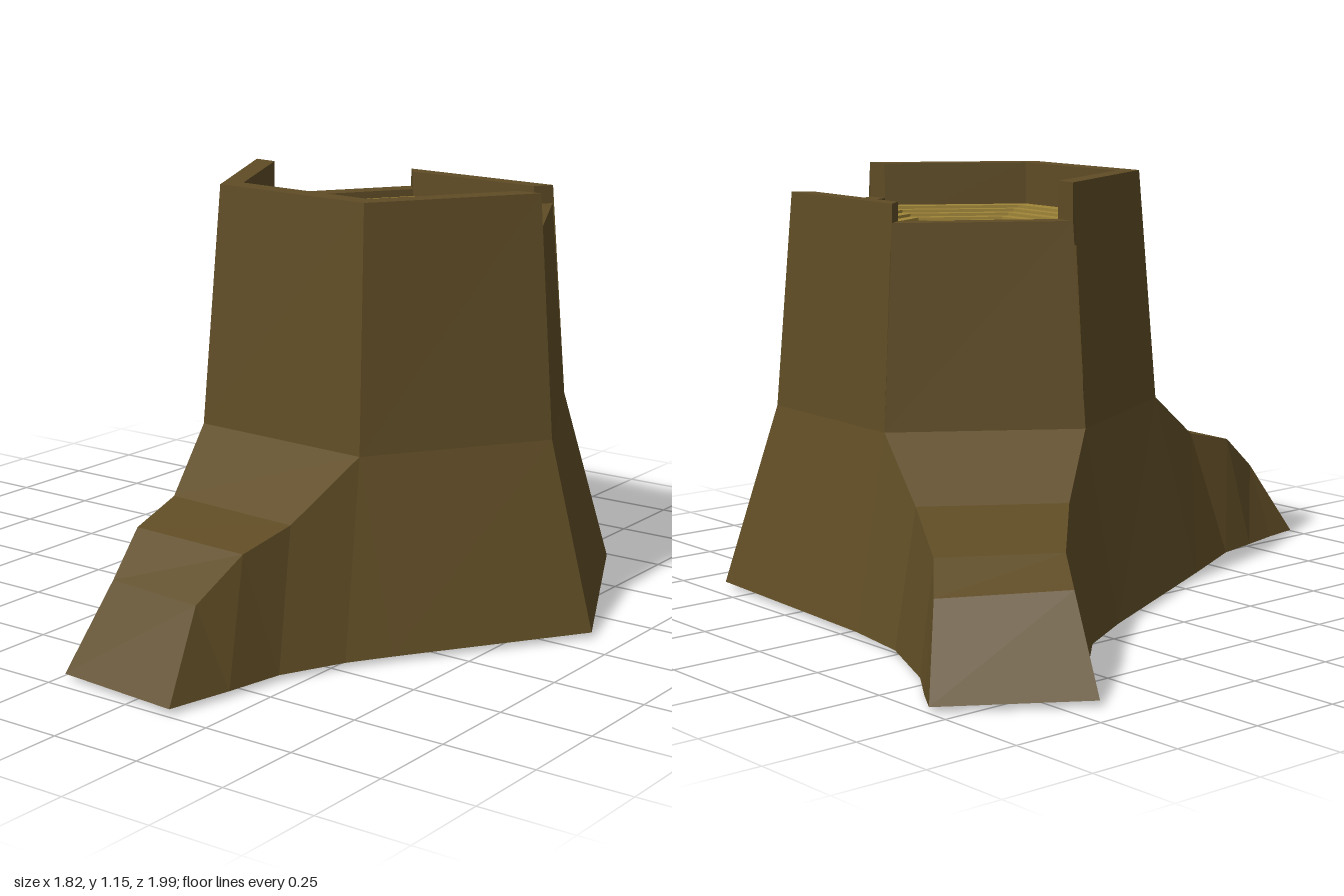
import * as THREE from 'three';

// Corner order everywhere: E, SE, SW, W, NW, NE
const CENTER = [0.235, -0.13];
const RIM = [[0.72, -0.1], [0.45, 0.3], [-0.03, 0.27], [-0.25, -0.17], [0.01, -0.56], [0.5, -0.53]];
const INNER = [[0.65, -0.1], [0.42, 0.24], [0, 0.21], [-0.18, -0.16], [0.05, -0.51], [0.47, -0.48]];
const MID = [[0.77, -0.1], [0.47, 0.34], [-0.06, 0.31], [-0.3, -0.17], [0, -0.6], [0.53, -0.57]];
const RIM_HEIGHT = [1.15, 1.15, 1.15, 1.05, 1.1, 1.05]; // one per side
const BASE_Y = 0.015, MID_Y = 0.51, FLOOR_Y = 1.03;

const at = ([x, z], y) => [x, y, z];
const ground = (pts) => pts.map((p) => at(p, BASE_Y));

// Roots: upper ridges (x, y, z) and ground outlines, starting at the trunk
const frontRoot = {
  ridgeA: [at(MID[1], MID_Y), [0.41, 0.37, 0.55], [0.385, 0.33, 0.71], [0.35, 0.23, 0.85], [0.38, BASE_Y, 0.99]],
  ridgeB: [at(MID[2], MID_Y), [0.01, 0.37, 0.52], [0.03, 0.33, 0.69], [0.06, 0.23, 0.82], [0.02, BASE_Y, 0.96]],
  footA: ground([[0.6, 0.37], [0.53, 0.48], [0.45, 0.65], [0.42, 0.81], [0.38, 0.99]]),
  footB: ground([[-0.18, 0.36], [-0.06, 0.6], [-0.03, 0.73], [0, 0.85], [0.02, 0.96]]),
};
const backRoot = {
  ridgeA: [at(MID[3], MID_Y), [-0.44, 0.36, -0.35], [-0.62, 0.29, -0.52], [-0.73, 0.23, -0.59], [-0.91, BASE_Y, -0.67]],
  ridgeB: [at(MID[4], MID_Y), [-0.22, 0.36, -0.67], [-0.45, 0.29, -0.795], [-0.545, 0.22, -0.87], [-0.69, BASE_Y, -1]],
  footA: ground([[-0.44, -0.18], [-0.54, -0.36], [-0.72, -0.54], [-0.79, -0.59], [-0.91, -0.67]]),
  footB: ground([[-0.06, -0.74], [-0.26, -0.77], [-0.49, -0.87], [-0.57, -0.92], [-0.69, -1]]),
};
// The back root dips slightly to the floor
backRoot.footB[3][1] = 0;
backRoot.footA[3][1] = 0.005;

// Flat faces gathered into one mesh
function faceMesh(name, material, build) {
  const pos = [];
  const tri = (a, b, c) => pos.push(...a, ...b, ...c);
  const quad = (a, b, c, d) => { tri(a, b, c); tri(a, c, d); };
  build(quad, tri);
  const geo = new THREE.BufferGeometry();
  geo.setAttribute('position', new THREE.Float32BufferAttribute(pos, 3));
  geo.computeVertexNormals();
  const mesh = new THREE.Mesh(geo, material);
  mesh.name = name;
  return mesh;
}

function rootMesh(name, material, { ridgeA, ridgeB, footA, footB }) {
  return faceMesh(name, material, (quad) => {
    for (let k = 0; k < 4; k++) {
      quad(ridgeA[k], ridgeB[k], ridgeB[k + 1], ridgeA[k + 1]);
      quad(ridgeA[k], ridgeA[k + 1], footA[k + 1], footA[k]);
      quad(ridgeB[k + 1], ridgeB[k], footB[k], footB[k + 1]);
    }
  });
}

export function createModel() {
  const group = new THREE.Group();
  const bark = new THREE.MeshStandardMaterial({ color: 0x5f4c25, flatShading: true, side: THREE.DoubleSide });
  const wood = new THREE.MeshStandardMaterial({ color: 0xa08538, flatShading: true });
  const mid = MID.map((p) => at(p, MID_Y));
  const footE = [0.91, BASE_Y, -0.09], footNE = [0.61, BASE_Y, -0.7];

  // Flared walls between the roots
  group.add(faceMesh('trunkFlare', bark, (quad) => {
    quad(mid[0], mid[1], frontRoot.footA[0], footE);
    quad(mid[2], mid[3], backRoot.footA[0], frontRoot.footB[0]);
    quad(mid[4], mid[5], footNE, backRoot.footB[0]);
    quad(mid[5], mid[0], footE, footNE);
  }));

  // Upper trunk with a broken rim of uneven height
  group.add(faceMesh('trunkAndRim', bark, (quad) => {
    for (let i = 0; i < 6; i++) {
      const j = (i + 1) % 6, h = RIM_HEIGHT[i], next = RIM_HEIGHT[j];
      const a = at(RIM[i], h), b = at(RIM[j], h), c = at(INNER[i], h), d = at(INNER[j], h);
      quad(a, b, mid[j], mid[i]);
      quad(b, a, c, d);
      quad(d, c, at(INNER[i], 0.97), at(INNER[j], 0.97));
      if (h > next) quad(b, d, at(INNER[j], next), at(RIM[j], next));
      if (h < next) quad(at(INNER[j], next), at(RIM[j], next), b, d);
    }
  }));

  group.add(rootMesh('frontRoot', bark, frontRoot), rootMesh('backRoot', bark, backRoot));

  // Underside
  group.add(faceMesh('underside', bark, (quad, tri) => {
    const loop = [footE, ...frontRoot.footA, ...frontRoot.footB.slice().reverse(),
      ...backRoot.footA, ...backRoot.footB.slice().reverse(), footNE];
    const flat = loop.map((p) => new THREE.Vector2(p[0], p[2]));
    for (const [a, b, c] of THREE.ShapeUtils.triangulateShape(flat, [])) {
      const [p, q, r] = [loop[a], loop[b], loop[c]];
      const up = (q[2] - p[2]) * (r[0] - p[0]) - (q[0] - p[0]) * (r[2] - p[2]);
      if (up > 0) tri(p, r, q); else tri(p, q, r);
    }
  }));

  // Growth rings: shallow hexagonal steps sinking to the centre
  const scales = [1, 0.87, 0.78, 0.68, 0.58, 0.47, 0];
  const ring = (s, y) => INNER.map(([x, z]) =>
    [CENTER[0] + (x - CENTER[0]) * s, y, CENTER[1] + (z - CENTER[1]) * s]);
  group.add(faceMesh('growthRings', wood, (quad) => {
    for (let k = 0; k < 6; k++) {
      const y = FLOOR_Y - k * 0.008;
      const outer = ring(scales[k], y), inner = ring(scales[k + 1], y), drop = ring(scales[k + 1], y - 0.008);
      for (let i = 0; i < 6; i++) {
        const j = (i + 1) % 6;
        quad(outer[j], outer[i], inner[i], inner[j]);
        if (k < 5) quad(inner[j], inner[i], drop[i], drop[j]);
      }
    }
  }));
  return group;
}
